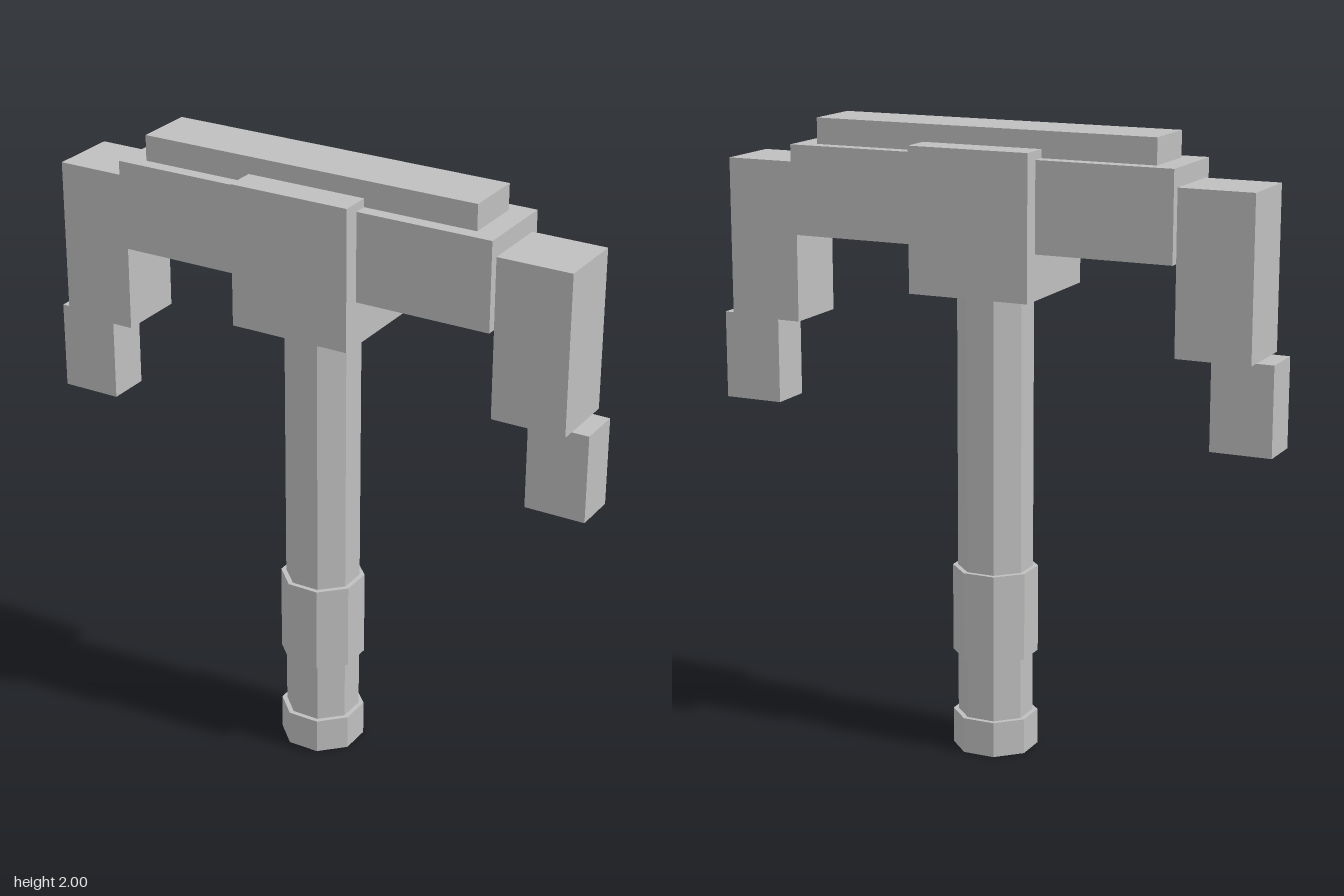
import * as THREE from 'three';

export function createModel() {
  const model = new THREE.Group();
  const grey = new THREE.MeshStandardMaterial({ color: 0xbfbfbf });
  grey.name = 'plain grey';

  const add = (name, geometry, x, y) => {
    const mesh = new THREE.Mesh(geometry, grey);
    mesh.name = name;
    mesh.position.set(x, y, 0);
    model.add(mesh);
  };

  // Box from x and y ranges, centred on z
  const box = (name, x0, x1, y0, y1, depth) =>
    add(name, new THREE.BoxGeometry(x1 - x0, y1 - y0, depth), (x0 + x1) / 2, (y0 + y1) / 2);

  // Eight-sided prism with a flat side to the front, sized by its half width
  const prism = (name, halfWidth, y0, y1) => {
    const r = halfWidth / Math.cos(Math.PI / 8);
    const g = new THREE.CylinderGeometry(r, r, y1 - y0, 8).rotateY(Math.PI / 8).toNonIndexed();
    g.computeVertexNormals();
    add(name, g, 0, (y0 + y1) / 2);
  };

  // Handle
  prism('shaft', 0.11, 0.05, 1.52);
  prism('pommel', 0.125, 0, 0.115);
  prism('gripCollar', 0.125, 0.317, 0.6);

  // Head
  box('headBlock', -0.198, 0.198, 1.493, 1.945, 0.396);
  box('crossBeam', -0.638, 0.638, 1.635, 1.918, 0.284);
  box('topRidge', -0.567, 0.567, 1.9, 2, 0.196);

  // Drooping ends, mirrored
  for (const [side, s] of [['left', 1], ['right', -1]]) {
    const pair = (name, a, b, y0, y1, depth) =>
      box(side + name, Math.min(s * a, s * b), Math.max(s * a, s * b), y0, y1, depth);
    pair('Arm', 0.638, 0.878, 1.352, 1.86, 0.226);
    pair('Tip', 0.738, 0.934, 1.07, 1.352, 0.142);
  }
  return model;
}
